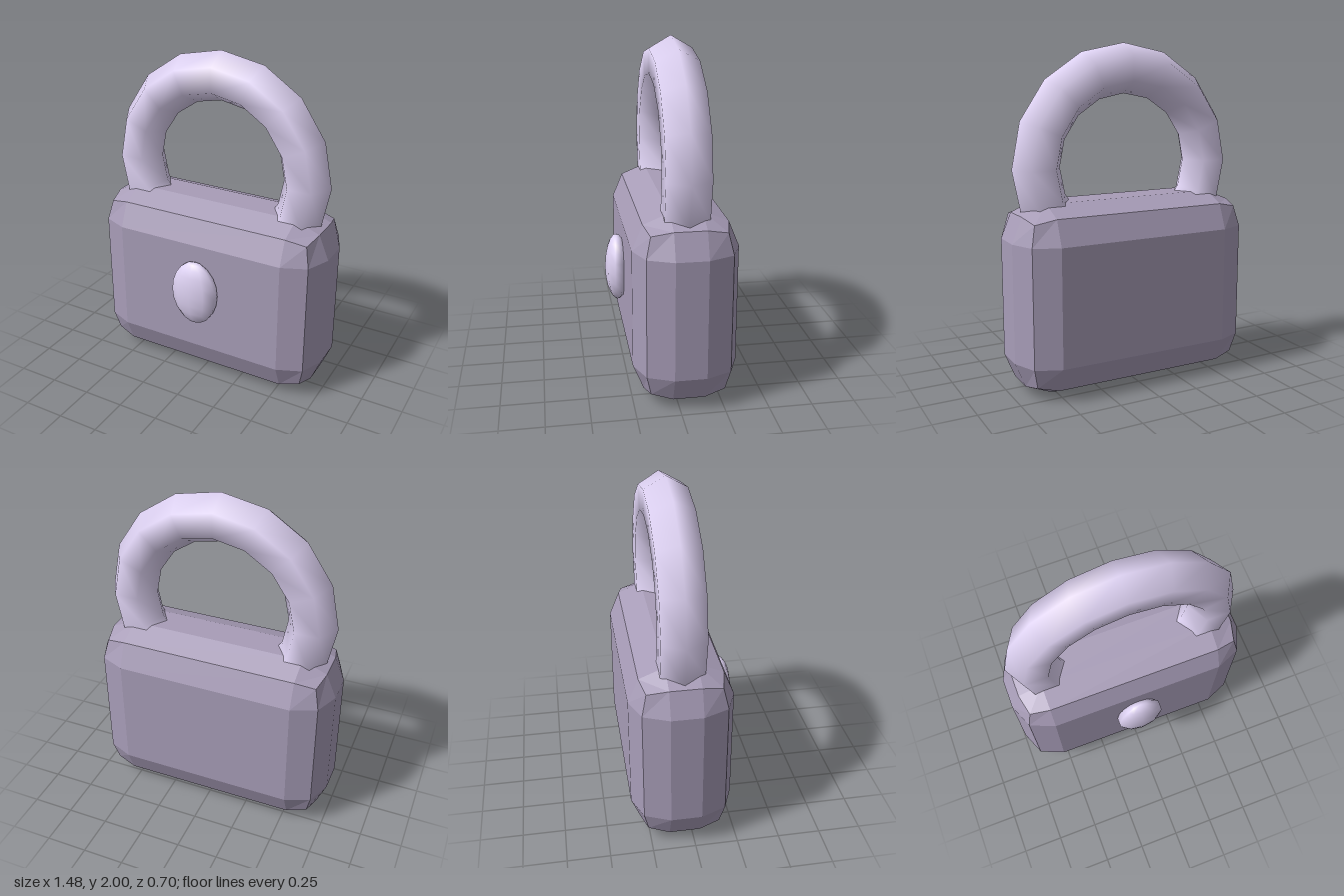
import * as THREE from 'three';
import { RoundedBoxGeometry } from 'three/addons/geometries/RoundedBoxGeometry.js';

const BODY_Z = -0.053;

export function createModel() {
  const model = new THREE.Group();
  model.name = 'padlock';

  const bodyMaterial = new THREE.MeshStandardMaterial({ color: 0xa89db8, flatShading: true });
  const paleMaterial = new THREE.MeshStandardMaterial({ color: 0xdfd3f4 });

  const add = (name, geometry, material, x, y, z) => {
    const mesh = new THREE.Mesh(geometry, material);
    mesh.name = name;
    mesh.position.set(x, y, z);
    model.add(mesh);
  };

  // Body: box with broad two-facet bevels
  add('body', new RoundedBoxGeometry(1.48, 1.11, 0.597, 1, 0.208), bodyMaterial, 0, 0.555, BODY_Z);

  // Shackle: six-sided ring whose two ends sink into the body
  const shackle = new THREE.TorusGeometry(0.555, 0.145, 6, 12, Math.PI * 1.5);
  shackle.rotateZ(-Math.PI / 4);
  add('shackle', shackle, paleMaterial, 0, 1.3, BODY_Z);

  // Keyhole cover: flattened oval button on the front
  const cover = new THREE.SphereGeometry(1, 10, 10);
  cover.rotateY(Math.PI / 2);
  cover.scale(0.15, 0.206, 0.073);
  add('keyholeCover', cover, paleMaterial, 0, 0.605, 0.277);

  return model;
}
